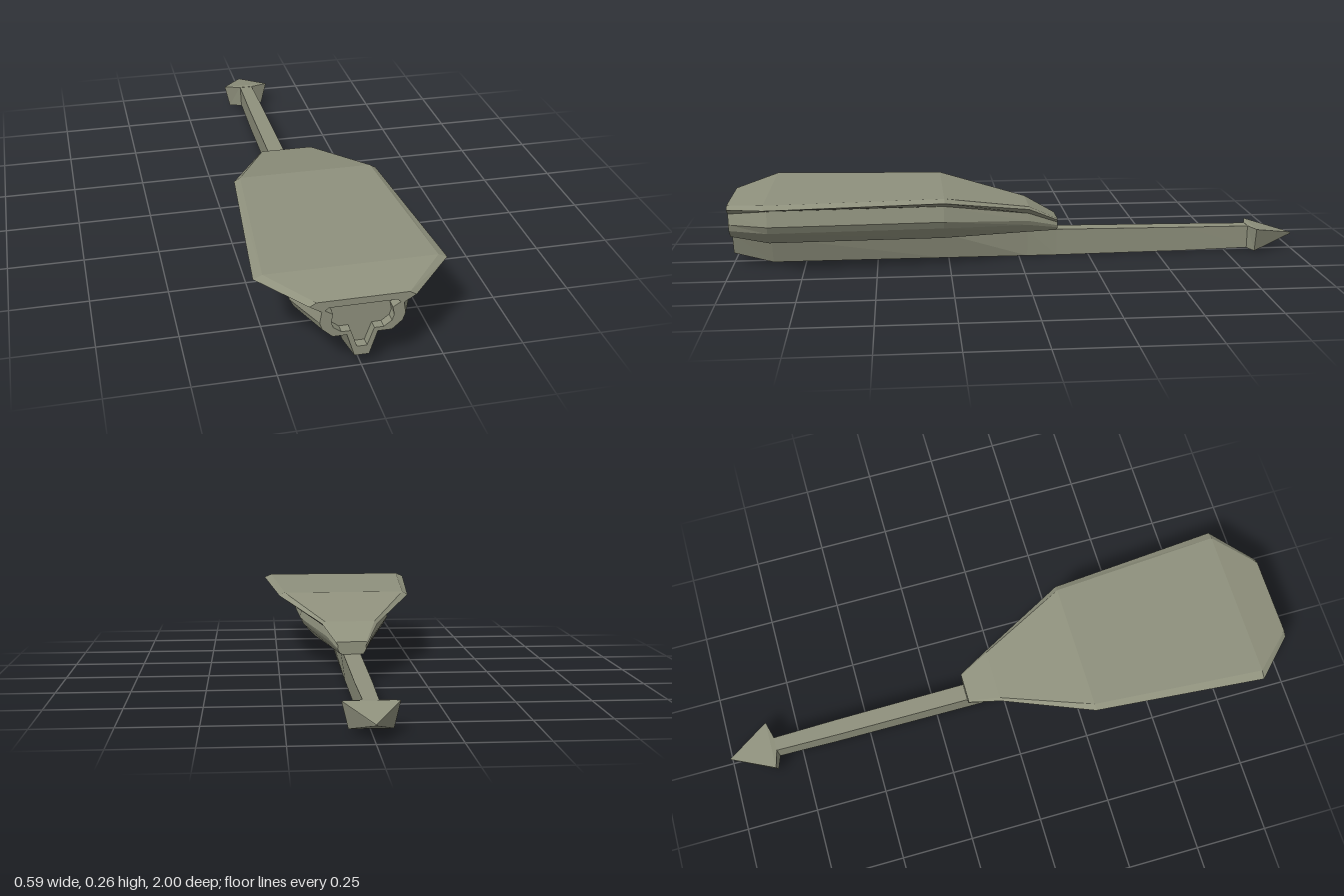
import * as THREE from 'three';

// Mirrors a right-hand half profile (top to bottom) into a closed loop.
const mirror = (half) => [...half, ...half.slice().reverse().map(([x, y]) => [-x, y])];

// Skins cross-sections ordered from front (+z) to back and caps both ends.
function loft(name, sections, material) {
  const rings = sections.map(({ z, half }) => mirror(half).map(([x, y]) => [x, y, z]));
  const pos = [];
  const tri = (a, b, c) => pos.push(...a, ...b, ...c);
  for (let i = 0; i < rings.length - 1; i++) {
    const s = rings[i], t = rings[i + 1], n = s.length;
    for (let j = 0; j < n; j++) {
      const k = (j + 1) % n;
      // the diagonal flips across the centre line to stay symmetrical
      if (j < n / 2) { tri(s[j], s[k], t[k]); tri(s[j], t[k], t[j]); }
      else { tri(s[j], s[k], t[j]); tri(s[k], t[k], t[j]); }
    }
  }
  const cap = (ring, facing) => {
    const outline = ring.map(([x, y]) => new THREE.Vector2(x, y));
    for (const [a, b, c] of THREE.ShapeUtils.triangulateShape(outline, [])) {
      const area = THREE.ShapeUtils.area([outline[a], outline[b], outline[c]]);
      if (area * facing > 0) tri(ring[a], ring[b], ring[c]);
      else tri(ring[a], ring[c], ring[b]);
    }
  };
  cap(rings[0], 1);
  cap(rings[rings.length - 1], -1);
  const geometry = new THREE.BufferGeometry();
  geometry.setAttribute('position', new THREE.Float32BufferAttribute(pos, 3));
  geometry.computeVertexNormals();
  const mesh = new THREE.Mesh(geometry, material);
  mesh.name = name;
  return mesh;
}

export function createModel() {
  const group = new THREE.Group();
  group.name = 'spearShapedHull';
  const hullGrey = new THREE.MeshStandardMaterial({ color: 0x8f917d, flatShading: true });
  hullGrey.name = 'hull grey';

  // Half profile: deck, deck edge, wing root, side, lower side, belly, keel root, keel foot
  const recess = [[0.1, 0.212], [0.112, 0.203], [0.088, 0.188], [0.093, 0.162],
    [0.087, 0.143], [0.063, 0.125], [0.035, 0.125], [0.015, 0.067]];
  const nose = [[0.137, 0.234], [0.157, 0.222], [0.121, 0.2], [0.127, 0.163],
    [0.119, 0.14], [0.088, 0.112], [0.046, 0.112], [0.022, 0.036]];
  const wide = [[0.265, 0.26], [0.293, 0.248], [0.176, 0.218], [0.186, 0.165],
    [0.173, 0.14], [0.128, 0.096], [0.056, 0.096], [0.024, 0]];
  const middle = [[0.222, 0.26], [0.242, 0.248], [0.155, 0.218], [0.165, 0.165],
    [0.152, 0.14], [0.112, 0.096], [0.05, 0.096], [0.024, 0]];
  const rear = [[0.088, 0.195], [0.098, 0.187], [0.076, 0.168], [0.082, 0.142],
    [0.076, 0.126], [0.058, 0.097], [0.034, 0.096], [0.024, 0]];
  const tail = [[0.05, 0.14], [0.055, 0.136], [0.048, 0.127], [0.05, 0.116],
    [0.047, 0.108], [0.04, 0.097], [0.03, 0.096], [0.024, 0]];

  // Hull with recessed front panel, overhanging deck and keel
  group.add(loft('hull', [
    { z: 0.97, half: recess }, { z: 1, half: recess }, { z: 1, half: nose },
    { z: 0.865, half: wide }, { z: 0.27, half: middle },
    { z: -0.03, half: rear }, { z: -0.135, half: tail },
  ], hullGrey));

  // Long tail boom continuing the keel
  group.add(loft('tailBoom', [
    { z: -0.135, half: [[0.03, 0.096], [0.024, 0]] },
    { z: -0.6, half: [[0.028, 0.092], [0.023, 0.004]] },
    { z: -0.845, half: [[0.024, 0.09], [0.02, 0.009]] },
  ], hullGrey));

  // Arrowhead at the end of the boom
  group.add(loft('arrowhead', [
    { z: -0.832, half: [[0.026, 0.091], [0.021, 0.008]] },
    { z: -0.848, half: [[0.087, 0.092], [0.067, 0.008]] },
    { z: -1, half: [[0.001, 0.057], [0.001, 0.053]] },
  ], hullGrey));

  return group;
}
